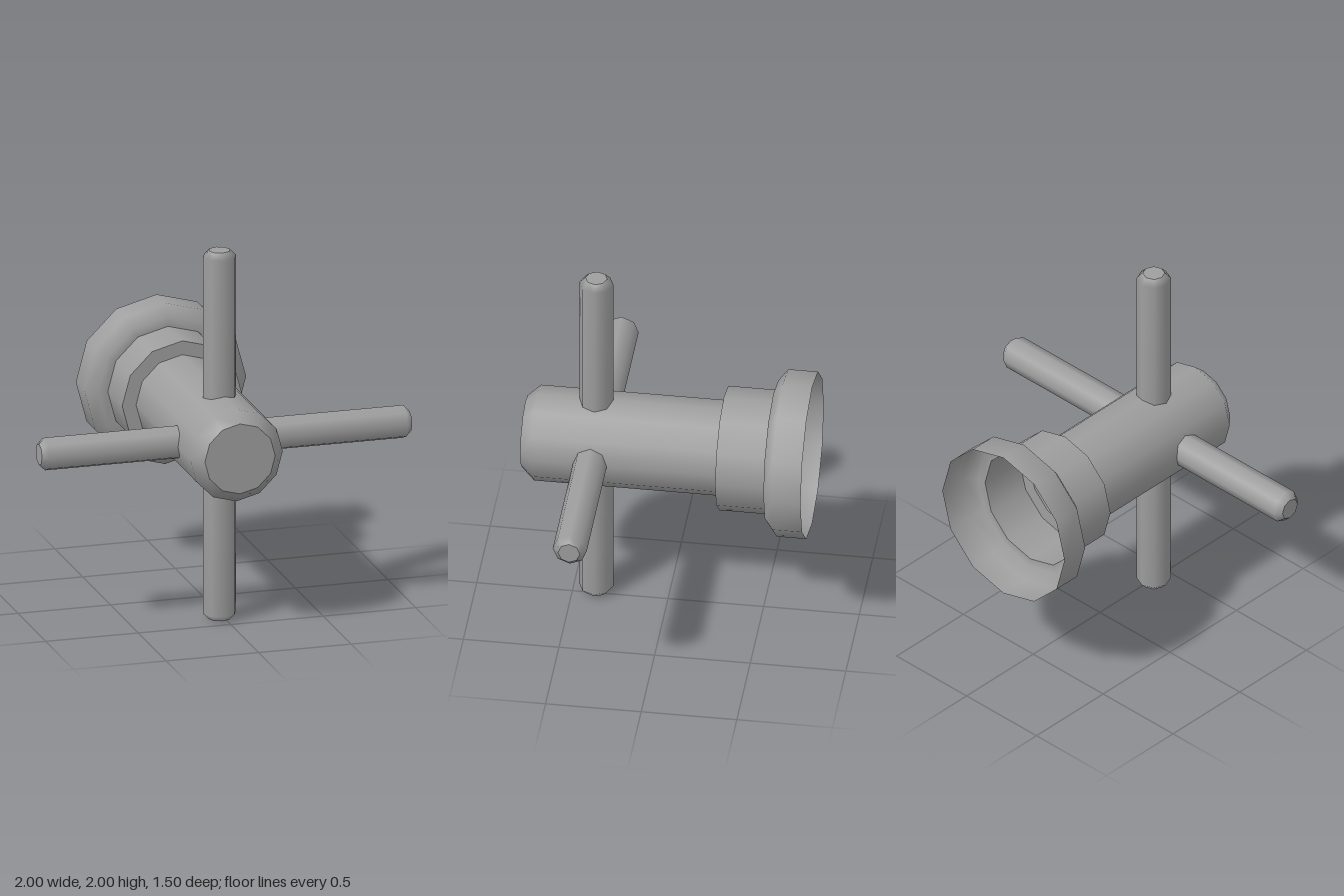
import * as THREE from 'three';
import { mergeGeometries } from 'three/addons/utils/BufferGeometryUtils.js';

const material = new THREE.MeshStandardMaterial({ color: 0x9e9e9e, side: THREE.DoubleSide });

// Turned shell from several runs of [radius, height]: smooth within a run, sharp between runs
function turned(runs, sides) {
  return mergeGeometries(runs.map((run) =>
    new THREE.LatheGeometry(run.map(([r, y]) => new THREE.Vector2(r, y)), sides)));
}

function addPart(group, name, geometry) {
  const mesh = new THREE.Mesh(geometry, material);
  mesh.name = name;
  group.add(mesh);
  return mesh;
}

export function createModel() {
  const model = new THREE.Group();
  model.name = 'crossHandle';
  const cx = -0.025, cy = 0.978, spokeZ = 0.378;

  // Hollow stepped hub, open at the back: [radius, z]
  const parts = {
    flange: [[[0.437, -0.75], [0.437, -0.595], [0.375, -0.547], [0.325, -0.547]]],
    collar: [[[0.325, -0.547], [0.325, -0.288]], [[0.325, -0.288], [0.25, -0.288]]],
    barrel: [[[0.25, -0.288], [0.25, 0.685], [0.19, 0.75]], [[0.19, 0.75], [0, 0.75]]],
  };
  for (const [name, runs] of Object.entries(parts)) {
    const mesh = addPart(model, name, turned(runs, 12).rotateX(Math.PI / 2));
    mesh.position.set(cx, cy, 0);
  }

  // Four spokes with softened tips, each reaching just through the barrel wall
  const spokes = [
    ['topSpoke', 0, 2 - cy],
    ['leftSpoke', -Math.PI / 2, 1 - cx],
    ['bottomSpoke', Math.PI, cy],
    ['rightSpoke', Math.PI / 2, 1 + cx],
  ];
  for (const [name, angle, length] of spokes) {
    const side = [[0.089, 0.222], [0.089, length - 0.033], [0.057, length]];
    const cap = [[0.057, length], [0, length]];
    const mesh = addPart(model, name, turned([side, cap], 8));
    mesh.position.set(cx, cy, spokeZ);
    mesh.rotation.z = angle;
  }
  return model;
}
